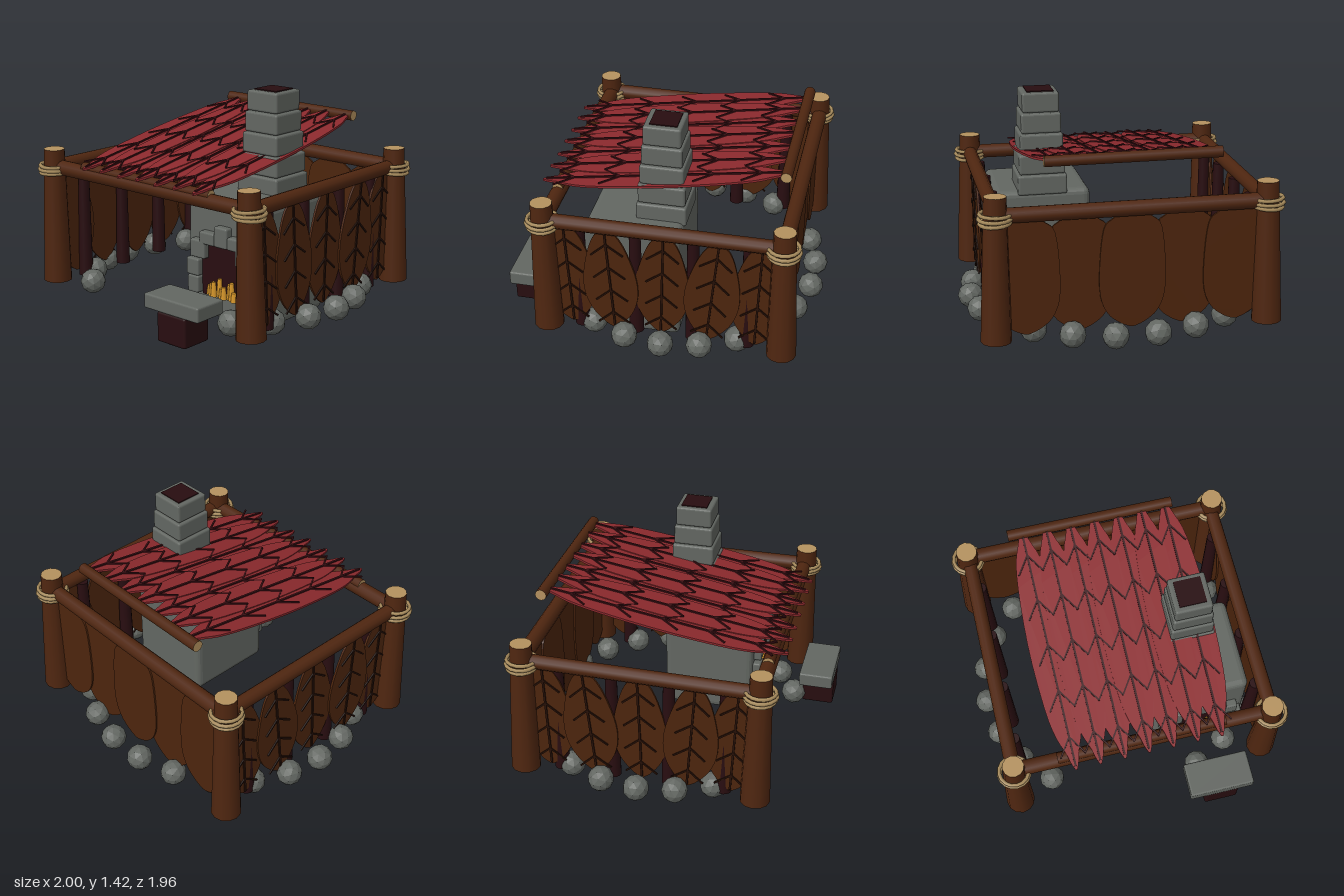
import * as THREE from 'three';
import { RoundedBoxGeometry } from 'three/addons/geometries/RoundedBoxGeometry.js';

const mat = (name, color, flatShading = false) => {
  const m = new THREE.MeshStandardMaterial({ color, flatShading });
  m.name = name;
  return m;
};

export function createModel() {
  const wood = mat('brown wood', 0x4f2610);
  const cutWood = mat('cut wood', 0xb5925f);
  const hide = mat('brown leaf', 0x4d250d);
  const dark = mat('dark maroon', 0x280d10);
  const vein = mat('leaf vein', 0x261006);
  const red = mat('red leaf', 0x8b292d);
  const redVein = mat('red leaf vein', 0x3a1014);
  const stone = mat('grey stone', 0x636762, true);
  const rope = mat('rope', 0xa78b5c);
  const ember = mat('ember', 0xdb9a2c);

  const model = new THREE.Group();
  model.name = 'cookHut';

  const add = (parent, name, geo, material, x = 0, y = 0, z = 0) => {
    const m = new THREE.Mesh(geo, material);
    m.name = name;
    m.position.set(x, y, z);
    parent.add(m);
    return m;
  };
  const block = (name, x0, x1, y0, y1, z0, z1, material = stone, r = 0.012) =>
    add(model, name, new RoundedBoxGeometry(x1 - x0, y1 - y0, z1 - z0, 2, r), material,
      (x0 + x1) / 2, (y0 + y1) / 2, (z0 + z1) / 2);

  // Round log between two points, with pale cut ends
  const log = (name, a, b, ra, rb, side = wood, end = cutWood) => {
    const from = new THREE.Vector3(...a), to = new THREE.Vector3(...b);
    const dir = to.clone().sub(from);
    const m = add(model, name, new THREE.CylinderGeometry(rb, ra, dir.length(), 12), [side, end, end]);
    m.position.copy(from).add(to).multiplyScalar(0.5);
    m.quaternion.setFromUnitVectors(new THREE.Vector3(0, 1, 0), dir.normalize());
    return m;
  };

  // Flat leaf centred on its origin, tip down; profile holds [t, half width]
  const leaf = (name, length, profile, thick, material, veinMat, rows = 0, reach = 0.1, drop = 0.1) => {
    const g = new THREE.Group();
    g.name = name;
    const pts = profile.map(([t, w]) => new THREE.Vector2(w, length * (0.5 - t)));
    const curve = new THREE.SplineCurve(pts).getPoints(24);
    const mirror = curve.map(p => new THREE.Vector2(-p.x, p.y)).reverse();
    const geo = new THREE.ExtrudeGeometry(new THREE.Shape([...mirror, ...curve]),
      { depth: thick, bevelEnabled: false });
    geo.translate(0, 0, -thick / 2);
    add(g, 'leafBlade', geo, material);
    if (veinMat) {
      const z = thick / 2 + 0.004;
      add(g, 'midrib', new THREE.BoxGeometry(0.013, length * 0.97, 0.009), veinMat, 0, 0, z);
      for (let i = 0; i < rows; i++) {
        const y = length * (0.5 - (i + 0.55) / (rows + 0.25));
        for (const s of [-1, 1]) {
          const v = add(g, 'sideVein', new THREE.BoxGeometry(Math.hypot(reach, drop), 0.01, 0.009),
            veinMat, s * reach / 2, y - drop / 2, z);
          v.rotation.z = -s * Math.atan2(drop, reach);
        }
      }
    }
    model.add(g);
    return g;
  };

  // Corner posts and their rope lashings
  for (const sx of [-1, 1]) for (const [zb, zt] of [[0.67, 0.68], [-0.81, -0.795]]) {
    log('cornerPost', [sx * 0.84, 0.075, zb], [sx * 0.825, 0.97, zt], 0.094, 0.068);
    for (let i = 0; i < 3; i++) {
      const ring = add(model, 'ropeLashing', new THREE.TorusGeometry(0.092 + (i % 2) * 0.006, 0.012, 6, 16),
        rope, sx * 0.828, 0.812 + i * 0.025, zt);
      ring.rotation.set(Math.PI / 2 + (i - 1) * 0.03, sx * 0.04 * (i - 1), 0);
    }
  }

  // Top beams and roof poles
  log('frontBeam', [-0.83, 0.85, 0.67], [0.83, 0.85, 0.67], 0.05, 0.047);
  log('backBeam', [-0.83, 0.85, -0.805], [0.83, 0.85, -0.795], 0.05, 0.047);
  for (const s of [-1, 1]) log('sideBeam', [s * 0.83, 0.85, 0.67], [s * 0.82, 0.85, -0.8], 0.047, 0.045);
  log('roofBackPole', [-0.545, 1.155, -0.755], [0.53, 1.15, -0.75], 0.036, 0.034);
  log('roofFrontPole', [-0.55, 0.885, 0.67], [0.53, 0.885, 0.67], 0.036, 0.034);

  // Side walls: overlapping leaves with dark stakes behind them
  const wallProfile = [[0, 0.03], [0.06, 0.075], [0.2, 0.12], [0.45, 0.165], [0.65, 0.168], [0.82, 0.13], [0.95, 0.06], [1, 0.012]];
  const wallLeaves = [[0.53, 0.04], [0.265, 0.05], [-0.06, -0.02], [-0.375, -0.07], [-0.655, -0.03]];
  for (const s of [-1, 1]) {
    wallLeaves.forEach(([z, lean], i) => {
      const l = leaf('sideWallLeaf', 0.72, wallProfile, 0.014, hide, vein, 4, 0.1, 0.08);
      l.position.set(s * (0.82 + (i % 2) * 0.012), 0.465, z);
      l.rotation.set(0, s * Math.PI / 2, s * lean / 0.7);
    });
    for (const z of [0.465, 0.115, -0.245, -0.585])
      log('wallStake', [s * 0.785, 0.07, z], [s * 0.785, 0.83, z], 0.048, 0.036, dark, dark);
  }

  // Back wall of wide leaves
  const backProfile = [[0, 0.06], [0.05, 0.12], [0.13, 0.175], [0.4, 0.2], [0.7, 0.2], [0.87, 0.155], [0.96, 0.08], [1, 0.015]];
  for (let i = 0; i < 5; i++) {
    const l = leaf('backWallLeaf', 0.73, backProfile, 0.014, hide);
    l.position.set(-0.635 + i * 0.322, 0.465, -0.8 + (i % 2) * 0.01);
    l.rotation.y = Math.PI;
  }

  // Sloping roof of seven long leaves
  const roofProfile = [[0, 0.012], [0.06, 0.045], [0.14, 0.085], [0.3, 0.112], [0.52, 0.124], [0.75, 0.108], [0.86, 0.08], [0.93, 0.04], [0.97, 0.025], [1, 0.006]];
  for (let i = 0; i < 7; i++) {
    const l = leaf('roofLeaf', 1.56, roofProfile, 0.014, red, redVein, 5, 0.08, 0.12);
    l.position.set(-0.45 + i * 0.155, 1.03 + (i % 2) * 0.006, 0.005);
    l.rotation.x = -1.41;
  }

  // Ring of boulders, open at the front left
  for (let i = 0; i < 22; i++) {
    if (i >= 5 && i <= 7) continue;
    const a = i * Math.PI * 2 / 22;
    const b = add(model, 'boulder', new THREE.IcosahedronGeometry(0.083, 1), stone,
      0.918 * Math.cos(a), 0.087, -0.065 + 0.845 * Math.sin(a));
    b.rotation.y = -a;
  }

  // Fireplace body and firebox
  block('fireplaceBody', 0.14, 0.755, 0.03, 0.79, -0.15, 0.45, stone, 0.04);
  const mouth = new THREE.Shape([[0.27, 0.17], [0.63, 0.17], [0.63, 0.42], [0.57, 0.42], [0.57, 0.52],
    [0.32, 0.52], [0.32, 0.42], [0.27, 0.42]].map(p => new THREE.Vector2(...p)));
  add(model, 'fireboxOpening', new THREE.ExtrudeGeometry(mouth, { depth: 0.008, bevelEnabled: false }), dark, 0, 0, 0.449);

  // Stones around the firebox arch
  for (const [x0, x1, y0, y1] of [
    [0.395, 0.5, 0.505, 0.635], [0.275, 0.395, 0.505, 0.585], [0.5, 0.615, 0.505, 0.585],
    [0.2, 0.32, 0.41, 0.525], [0.565, 0.69, 0.41, 0.525], [0.17, 0.27, 0.29, 0.4],
    [0.63, 0.725, 0.29, 0.4], [0.18, 0.27, 0.18, 0.29], [0.63, 0.715, 0.18, 0.29],
  ]) block('archStone', x0, x1, y0, y1, 0.42, 0.5);

  // Embers heaped in the mouth
  for (let i = 0; i < 9; i++) {
    const h = 0.06 + (i * 5 % 4) * 0.018;
    add(model, 'ember', new THREE.CylinderGeometry(0.014, 0.02, h, 6), ember,
      0.34 + i * 0.027, 0.185 + h / 2, 0.47 + (i % 3) * 0.012);
  }

  // Tapered chimney with a dark flue
  for (let i = 0; i < 5; i++) {
    const w = (0.315 - i * 0.02) / 2, y = 0.765 + i * 0.131;
    block('chimneyBlock', 0.448 - w, 0.448 + w, y, y + 0.128, -0.005 - w, -0.005 + w, stone, 0.014);
  }
  add(model, 'chimneyFlue', new THREE.BoxGeometry(0.17, 0.009, 0.17), dark, 0.447, 1.419, -0.008);

  // Stone bench in front of the hearth
  block('benchSlab', 0.265, 0.695, 0.215, 0.308, 0.75, 0.975);
  block('benchBase', 0.37, 0.595, 0.03, 0.22, 0.765, 0.975, dark, 0.015);

  return model;
}
